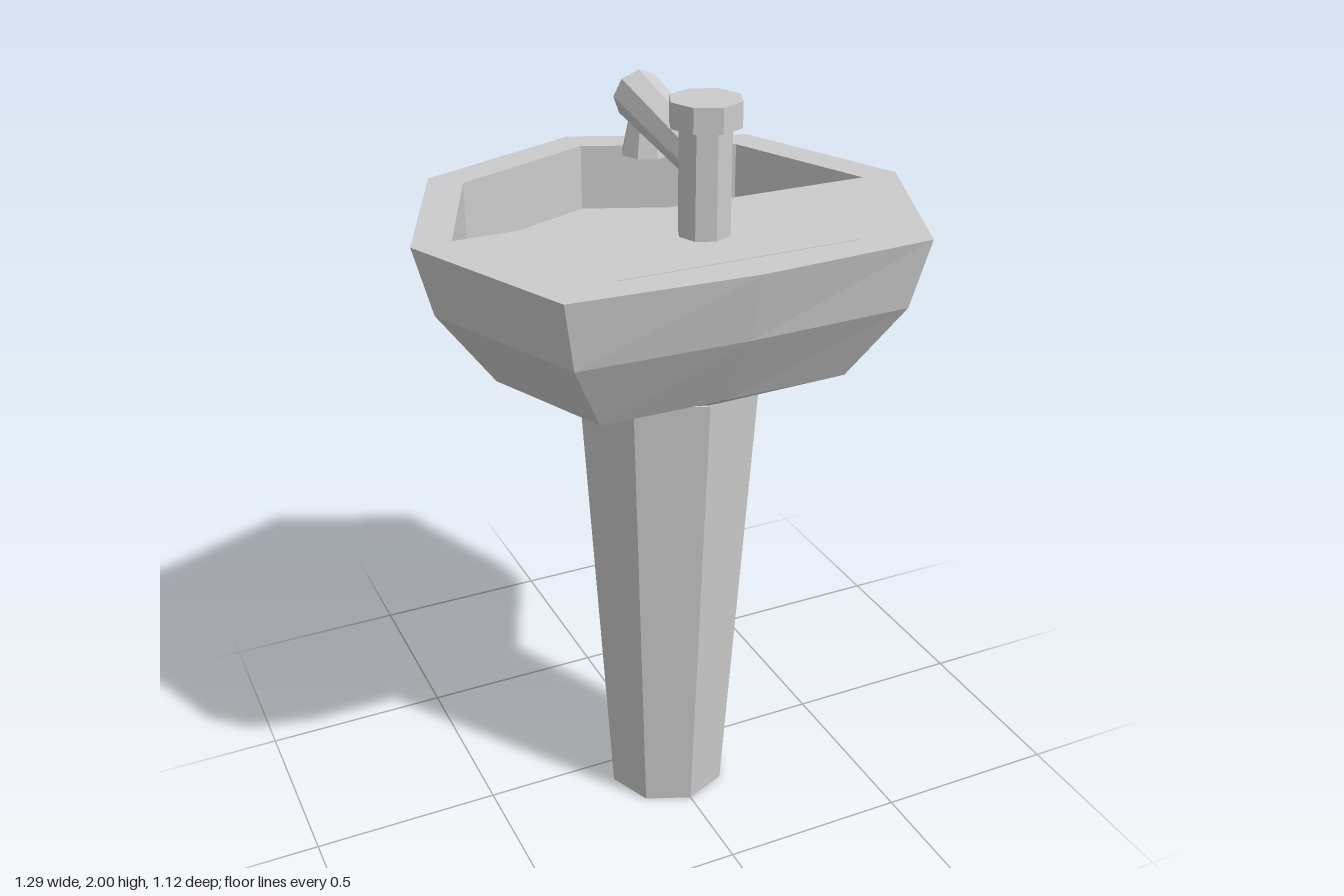
import * as THREE from 'three';
import { mergeGeometries } from 'three/addons/utils/BufferGeometryUtils.js';

const CENTER_Z = 0.08;
const grey = new THREE.MeshStandardMaterial({ color: 0xcccccc, flatShading: true });

function part(name, geometry, x = 0, y = 0, z = 0) {
  const mesh = new THREE.Mesh(geometry, grey);
  mesh.name = name;
  mesh.position.set(x, y, z);
  return mesh;
}

// Octagon as [x, z] pairs; the rear point (first) can be pulled in to flatten the back
function octagon(r, rearZ = CENTER_Z + r) {
  const loop = [];
  for (let i = 0; i < 8; i++) {
    const a = (i * Math.PI) / 4;
    loop.push([r * Math.sin(a), i === 0 ? rearZ : CENTER_Z + r * Math.cos(a)]);
  }
  return loop;
}

// Wall joining two loops with equal point counts
function band(loopA, yA, loopB, yB) {
  const pos = [];
  const n = loopA.length;
  for (let i = 0; i < n; i++) {
    const j = (i + 1) % n;
    const a = [loopA[i][0], yA, loopA[i][1]];
    const b = [loopA[j][0], yA, loopA[j][1]];
    const c = [loopB[j][0], yB, loopB[j][1]];
    const d = [loopB[i][0], yB, loopB[i][1]];
    pos.push(...a, ...b, ...c, ...a, ...c, ...d);
  }
  const g = new THREE.BufferGeometry();
  g.setAttribute('position', new THREE.Float32BufferAttribute(pos, 3));
  g.computeVertexNormals();
  return g;
}

// Horizontal face, optionally pierced by a hole, facing up
function plate(loop, y, hole) {
  const toPoints = (l) => l.map(([x, z]) => new THREE.Vector2(x, -z));
  const shape = new THREE.Shape(toPoints(loop));
  if (hole) shape.holes.push(new THREE.Path(toPoints(hole)));
  const g = new THREE.ShapeGeometry(shape).toNonIndexed();
  g.deleteAttribute('uv');
  return g.rotateX(-Math.PI / 2).translate(0, y, 0);
}

// Eight-sided rod between two points
function rod(name, from, to, r0, r1) {
  const dir = to.clone().sub(from);
  const mesh = part(name, new THREE.CylinderGeometry(r1, r0, dir.length(), 8));
  mesh.position.copy(from).add(to).multiplyScalar(0.5);
  mesh.quaternion.setFromUnitVectors(new THREE.Vector3(0, 1, 0), dir.normalize());
  return mesh;
}

function createBowl() {
  const bowl = new THREE.Group();
  bowl.name = 'bowl';
  const rimY = 1.685, floorY = 1.51, drainY = 1.43;

  // Outer shell, bottom to top: height, radius, flattened rear
  const levels = [[1.26, 0.24, 0.315], [1.315, 0.455, 0.405], [floorY, 0.597, 0.515], [rimY, 0.643, 0.56]];
  const rings = levels.map(([, r, rear]) => octagon(r, rear));
  const walls = [];
  for (let i = 0; i < 3; i++) walls.push(band(rings[i], levels[i][0], rings[i + 1], levels[i + 1][0]));
  bowl.add(part('bowlShell', mergeGeometries(walls)));

  // Half-octagon basin sunk into the rim
  const basin = octagon(0.545).slice(2, 7);
  const drain = [[0.08, 0.038], [0.086, 0.015], [0.06, -0.045], [0, -0.07],
    [-0.06, -0.045], [-0.086, 0.015], [-0.08, 0.038]];
  bowl.add(part('rim', plate(rings[3], rimY, basin)));
  bowl.add(part('basinWall', band(basin, rimY, basin, floorY)));
  bowl.add(part('basinFloor', plate(basin, floorY, drain)));
  bowl.add(part('drain', mergeGeometries([band(drain, floorY, drain, drainY), plate(drain, drainY)])));

  // Fine seam along the rear ledge
  bowl.add(part('ledgeSeam', new THREE.BoxGeometry(0.6, 0.003, 0.003), 0, rimY, 0.462));
  return bowl;
}

function createFaucet() {
  const faucet = new THREE.Group();
  faucet.name = 'faucet';
  const z = 0.273;
  faucet.add(part('faucetPost', new THREE.CylinderGeometry(0.064, 0.064, 0.27, 8), 0, 1.815, z));
  faucet.add(part('faucetKnob', new THREE.CylinderGeometry(0.087, 0.087, 0.06, 8), 0, 1.97, z));
  faucet.add(rod('spout', new THREE.Vector3(0, 1.847, z), new THREE.Vector3(0, 1.918, -0.097), 0.048, 0.063));
  faucet.add(part('spoutNozzle', new THREE.CylinderGeometry(0.042, 0.064, 0.1, 8), 0, 1.838, -0.042));
  return faucet;
}

export function createModel() {
  const model = new THREE.Group();
  model.name = 'pedestalSink';
  model.add(part('pedestal', new THREE.CylinderGeometry(0.242, 0.163, 1.26, 8), 0, 0.63, CENTER_Z));
  model.add(createBowl(), createFaucet());
  return model;
}
